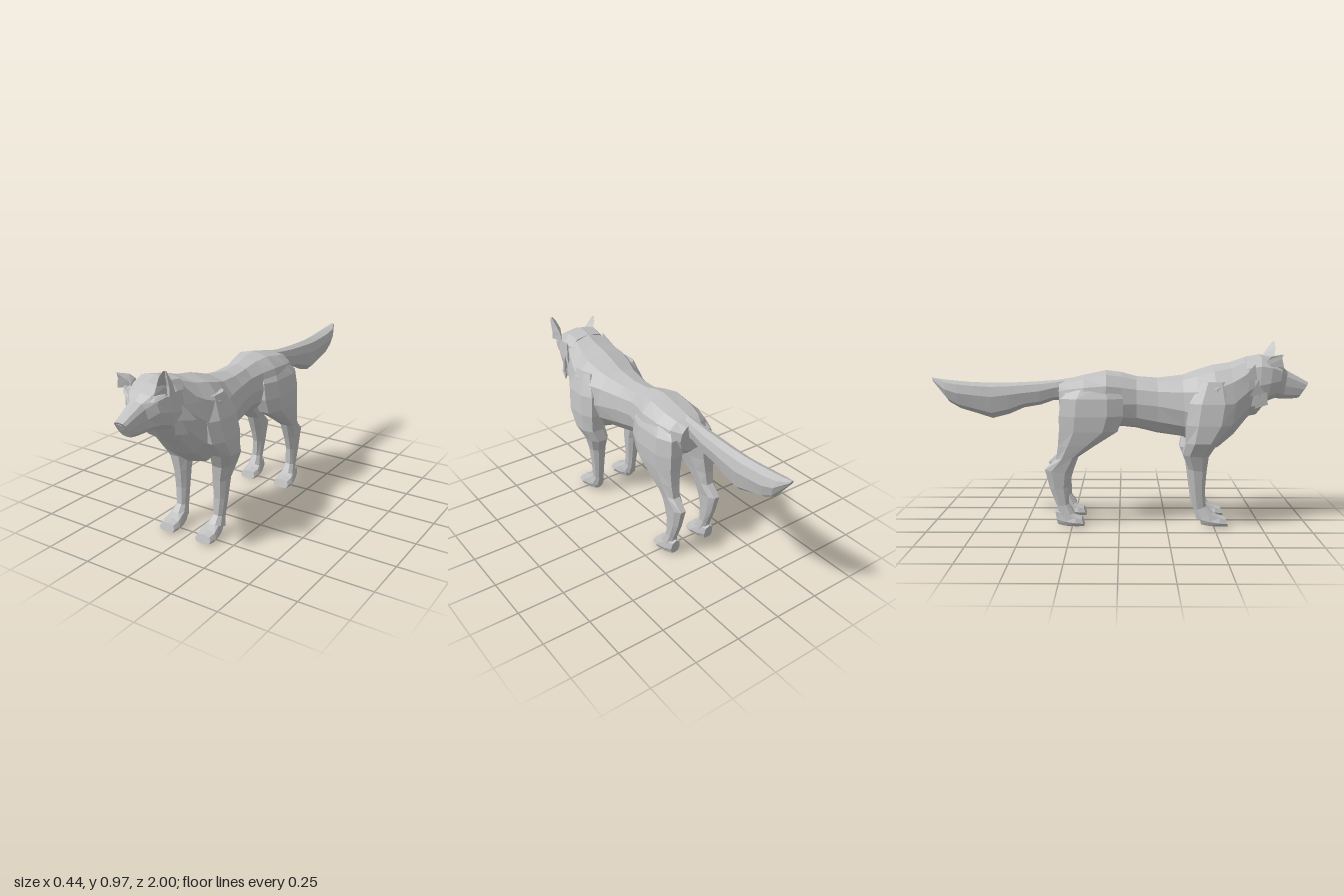
import * as THREE from 'three';

const fur = new THREE.MeshStandardMaterial({ color: 0xc0c0c0, flatShading: true, side: THREE.DoubleSide });
fur.name = 'grey fur';

// Skin a closed surface over rings of equal length, with fan caps; faces always point outward.
function loft(name, rings) {
  const tris = [], n = rings[0].length;
  for (let i = 0; i < rings.length - 1; i++) {
    for (let j = 0; j < n; j++) {
      const k = (j + 1) % n, a = rings[i][j], b = rings[i][k], c = rings[i + 1][k], d = rings[i + 1][j];
      tris.push([a, b, c], [a, c, d]);
    }
  }
  const cap = (ring, flip) => {
    const mid = ring.reduce((s, p) => s.add(p), new THREE.Vector3()).divideScalar(n);
    ring.forEach((p, j) => {
      const q = ring[(j + 1) % n];
      tris.push(flip ? [mid, q, p] : [mid, p, q]);
    });
  };
  cap(rings[0], true);
  cap(rings[rings.length - 1], false);
  let volume = 0;
  for (const [a, b, c] of tris) volume += a.dot(b.clone().cross(c));
  const pos = [];
  for (const t of tris) for (const p of volume < 0 ? [t[0], t[2], t[1]] : t) pos.push(p.x, p.y, p.z);
  const geo = new THREE.BufferGeometry();
  geo.setAttribute('position', new THREE.Float32BufferAttribute(pos, 3));
  geo.computeVertexNormals();
  const mesh = new THREE.Mesh(geo, fur);
  mesh.name = name;
  return mesh;
}

const pw = (v, e) => Math.sign(v) * Math.pow(Math.abs(v), e);

// Upright section: z at top and bottom, y top, y bottom, half width, height of widest point
function upright([zT, zB, yT, yB, w, mid], sides, e) {
  return Array.from({ length: sides }, (_, i) => {
    const a = (i / sides) * Math.PI * 2;
    const c = pw(Math.cos(a), e), y = mid + c * (c > 0 ? yT - mid : mid - yB);
    return new THREE.Vector3(w * pw(Math.sin(a), e), y, zB + (zT - zB) * (y - yB) / (yT - yB));
  });
}

// Level section of a limb: y front, y back, z front, z back, x inner, x outer
function level([yF, yB, zF, zB, xI, xO], side, sides = 8, e = 0.8) {
  return Array.from({ length: sides }, (_, i) => {
    const a = ((i + 0.5) / sides) * Math.PI * 2;
    const c = pw(Math.cos(a), e) / pw(Math.cos(Math.PI / sides), e);
    const s = pw(Math.sin(a), e) / pw(Math.cos(Math.PI / sides), e);
    return new THREE.Vector3(side * ((xI + xO) / 2 + s * (xO - xI) / 2),
      (yF + yB) / 2 + c * (yF - yB) / 2, (zF + zB) / 2 + c * (zF - zB) / 2);
  });
}

const v = (x, y, z) => new THREE.Vector3(x, y, z);

// Tapered tuft of fur from a small three-sided root to a point
function tuft(name, root, tip, h) {
  const r = [v(0, h, 0), v(0.012 * Math.sign(root.x), -h, 0.01), v(-0.012 * Math.sign(root.x), -h, -0.02)];
  return loft(name, [r.map(p => p.clone().add(root)), r.map(p => p.clone().multiplyScalar(0.05).add(tip))]);
}

export function createModel() {
  const wolf = new THREE.Group();
  wolf.name = 'wolf';

  const torso = [
    [0.74, 0.69, 0.90, 0.58, 0.12, 0.75],
    [0.67, 0.66, 0.893, 0.545, 0.145, 0.72],
    [0.58, 0.60, 0.862, 0.47, 0.178, 0.66],
    [0.49, 0.52, 0.848, 0.402, 0.205, 0.61],
    [0.40, 0.42, 0.82, 0.41, 0.19, 0.60],
    [0.33, 0.34, 0.795, 0.465, 0.155, 0.62],
    [0.20, 0.20, 0.78, 0.485, 0.12, 0.64],
    [0.09, 0.09, 0.788, 0.512, 0.105, 0.65],
    [0.01, 0.01, 0.81, 0.52, 0.125, 0.65],
    [-0.07, -0.07, 0.82, 0.52, 0.155, 0.66],
    [-0.19, -0.17, 0.795, 0.54, 0.15, 0.67],
    [-0.27, -0.27, 0.775, 0.56, 0.125, 0.67],
    [-0.32, -0.315, 0.755, 0.60, 0.08, 0.67],
  ];
  wolf.add(loft('body', torso.map(s => upright(s, 12, 0.9))));

  const head = [
    [1.0, 0.945, 0.757, 0.672, 0.036, 0.72],
    [0.94, 0.91, 0.79, 0.668, 0.045, 0.73],
    [0.885, 0.86, 0.82, 0.668, 0.056, 0.74],
    [0.855, 0.82, 0.85, 0.672, 0.098, 0.77],
    [0.80, 0.77, 0.885, 0.655, 0.122, 0.76],
    [0.74, 0.715, 0.905, 0.58, 0.13, 0.75],
    [0.66, 0.64, 0.89, 0.57, 0.12, 0.74],
  ];
  wolf.add(loft('head', head.map(s => upright(s, 12, 0.68))));

  // Nose pad
  wolf.add(loft('nose', [
    [0.998, 0.982, 0.75, 0.715, 0.022, 0.735],
    [1.0, 0.984, 0.748, 0.72, 0.014, 0.735],
  ].map(s => upright(s, 6, 1))));

  const tail = [
    [-0.22, -0.26, 0.785, 0.66, 0.028, 0.74],
    [-0.33, -0.35, 0.768, 0.66, 0.036, 0.73],
    [-0.43, -0.42, 0.76, 0.635, 0.042, 0.71],
    [-0.53, -0.51, 0.755, 0.62, 0.044, 0.70],
    [-0.60, -0.59, 0.752, 0.585, 0.046, 0.69],
    [-0.69, -0.68, 0.752, 0.562, 0.047, 0.68],
    [-0.79, -0.76, 0.756, 0.588, 0.048, 0.69],
    [-0.87, -0.85, 0.763, 0.615, 0.048, 0.70],
    [-0.94, -0.91, 0.77, 0.65, 0.042, 0.72],
    [-1.0, -0.99, 0.78, 0.755, 0.012, 0.77],
  ];
  wolf.add(loft('tail', tail.map(s => upright(s, 8, 0.9))));

  const foreleg = [
    [0.77, 0.77, 0.56, 0.42, 0.08, 0.165],
    [0.66, 0.66, 0.60, 0.36, 0.08, 0.205],
    [0.55, 0.55, 0.58, 0.345, 0.09, 0.22],
    [0.46, 0.455, 0.51, 0.345, 0.085, 0.22],
    [0.38, 0.39, 0.465, 0.33, 0.077, 0.185],
    [0.30, 0.31, 0.457, 0.365, 0.08, 0.162],
    [0.20, 0.20, 0.45, 0.38, 0.086, 0.152],
    [0.11, 0.09, 0.458, 0.395, 0.088, 0.142],
    [0.075, 0.04, 0.495, 0.41, 0.075, 0.155],
  ];
  const hindleg = [
    [0.76, 0.74, -0.02, -0.25, 0.02, 0.12],
    [0.68, 0.68, 0.02, -0.305, 0.025, 0.158],
    [0.59, 0.59, 0.02, -0.315, 0.03, 0.17],
    [0.51, 0.51, -0.01, -0.315, 0.045, 0.168],
    [0.44, 0.43, -0.12, -0.322, 0.06, 0.16],
    [0.375, 0.36, -0.215, -0.332, 0.07, 0.15],
    [0.28, 0.305, -0.25, -0.392, 0.08, 0.142],
    [0.21, 0.20, -0.27, -0.365, 0.084, 0.138],
    [0.12, 0.11, -0.268, -0.33, 0.086, 0.138],
    [0.075, 0.04, -0.24, -0.31, 0.075, 0.15],
  ];
  // Paw: heel, instep, knuckle and toe sections
  const paw = (z) => [
    [z - 0.155, z - 0.14, 0.09, 0.006, 0.028, 0.04],
    [z - 0.105, z - 0.10, 0.088, 0, 0.042, 0.03],
    [z - 0.05, z - 0.04, 0.058, 0, 0.054, 0.025],
    [z - 0.015, z, 0.048, 0.002, 0.046, 0.02],
  ];

  for (const s of [1, -1]) {
    const side = s > 0 ? 'left' : 'right';
    wolf.add(loft(side + 'FrontLeg', foreleg.map(r => level(r, s))));
    wolf.add(loft(side + 'HindLeg', hindleg.map(r => level(r, s))));
    for (const [part, z] of [['FrontPaw', 0.575], ['HindPaw', -0.185]]) {
      const mesh = loft(side + part, paw(z).map(r => upright(r, 8, 0.7)));
      mesh.position.x = s * 0.112;
      wolf.add(mesh);
    }

    // Cheek and neck fur
    wolf.add(tuft(side + 'CheekTuft', v(s * 0.11, 0.71, 0.76), v(s * 0.142, 0.635, 0.70), 0.06));
    wolf.add(tuft(side + 'RuffTuft', v(s * 0.11, 0.76, 0.74), v(s * 0.165, 0.70, 0.67), 0.05));
    wolf.add(tuft(side + 'NeckTuft', v(s * 0.12, 0.82, 0.70), v(s * 0.165, 0.77, 0.62), 0.04));

    // Eye under a slanted brow ridge
    const eye = new THREE.Mesh(new THREE.OctahedronGeometry(0.02, 1), fur);
    eye.name = side + 'Eye';
    eye.scale.set(1, 0.7, 0.4);
    eye.position.set(s * 0.078, 0.808, 0.848);
    eye.rotation.set(0, s * 0.5, s * 0.4);
    wolf.add(eye);
    wolf.add(loft(side + 'Brow', [
      [v(s * 0.04, 0.81, 0.865), v(s * 0.04, 0.825, 0.865), v(s * 0.04, 0.83, 0.83)],
      [v(s * 0.085, 0.825, 0.862), v(s * 0.085, 0.845, 0.85), v(s * 0.085, 0.85, 0.81)],
      [v(s * 0.118, 0.845, 0.825), v(s * 0.118, 0.855, 0.82), v(s * 0.118, 0.85, 0.78)],
    ]));
  }

  // Ear section: inner edge, hollow front, outer edge, back
  const ear = (x, y, z, w, d, tilt = 0) =>
    [v(x - w, y - tilt, z + d), v(x, y, z), v(x + w, y + tilt, z + d * 0.6), v(x + w * 0.3, y, z - d)];
  wolf.add(loft('leftEar', [
    ear(0.108, 0.845, 0.80, 0.036, 0.045), ear(0.112, 0.89, 0.805, 0.03, 0.032),
    ear(0.122, 0.935, 0.825, 0.02, 0.018), ear(0.133, 0.966, 0.838, 0.007, 0.005),
  ]));
  // Right ear is folded outward
  wolf.add(loft('rightEar', [
    ear(-0.10, 0.845, 0.80, 0.036, 0.045), ear(-0.108, 0.878, 0.80, 0.032, 0.034, -0.01),
    ear(-0.122, 0.898, 0.81, 0.022, 0.026, -0.012), ear(-0.138, 0.91, 0.835, 0.008, 0.01, -0.004),
  ]));
  return wolf;
}
